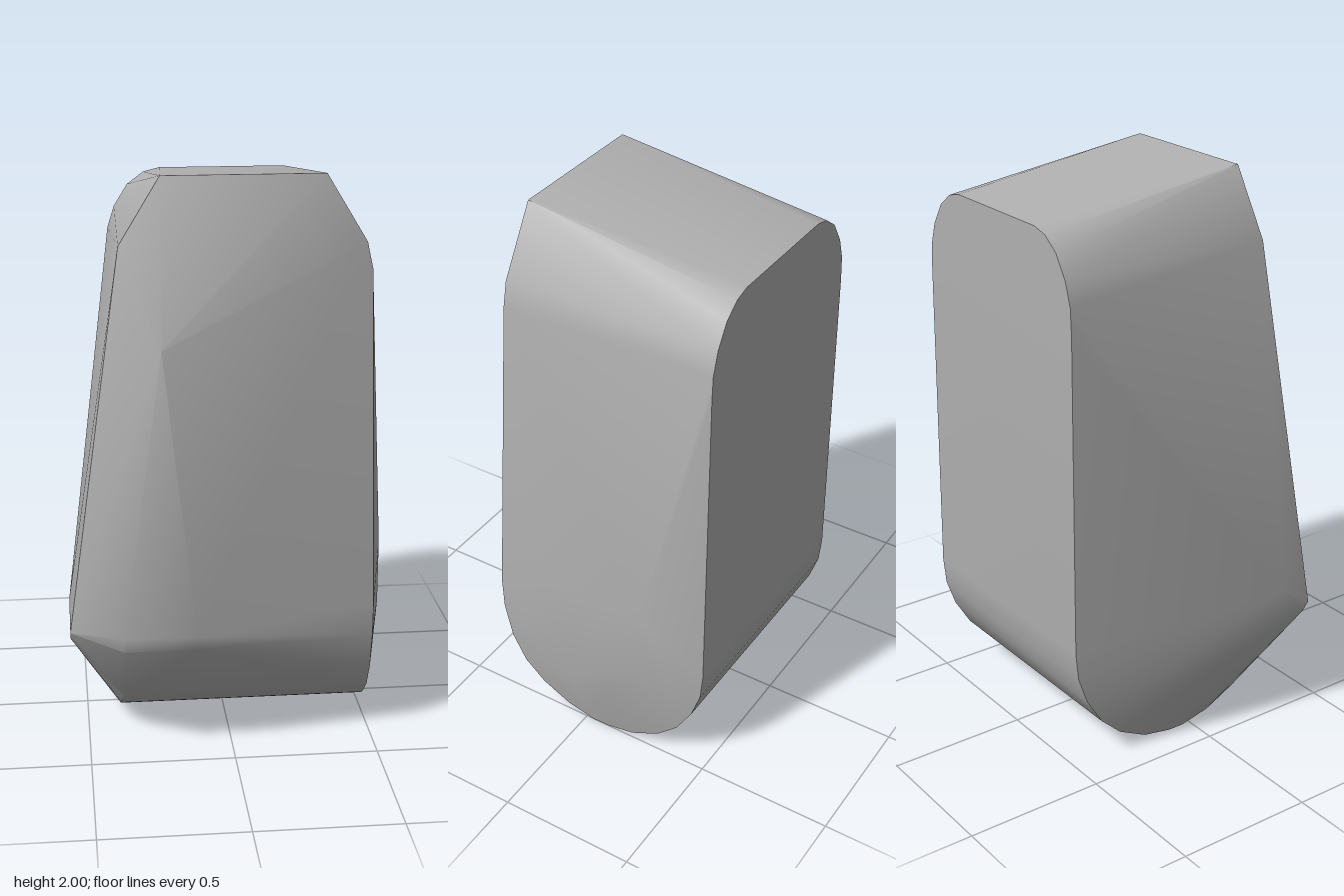
import * as THREE from 'three';
import { ConvexGeometry } from 'three/addons/geometries/ConvexGeometry.js';
import { toCreasedNormals } from 'three/addons/utils/BufferGeometryUtils.js';

export function createModel() {
  const grey = new THREE.MeshStandardMaterial({ color: 0xb0b0b0 });
  grey.name = 'stone grey';
  const points = [];
  const add = (x, y, z) => points.push(new THREE.Vector3(x, y, z));

  // rounded base, one profile [z, y] swept across x
  const base = [[0.36, 0.5], [0.355, 0.38], [0.325, 0.25], [0.27, 0.15], [0.19, 0.08], [0.08, 0.025],
    [-0.03, 0], [-0.09, 0], [-0.2, 0.02], [-0.31, 0.075], [-0.39, 0.15], [-0.45, 0.25], [-0.485, 0.35], [-0.495, 0.45]];
  for (const [z, y] of base) {
    add(0.5, y, z);
    add(-0.38, y, z);
  }

  // rounded shoulders [x, y] on the flat back
  const shoulders = [[0.48, 1.6], [0.475, 1.69], [0.45, 1.77], [0.4, 1.85], [0.34, 1.895], [0.28, 1.91],
    [-0.18, 1.91], [-0.24, 1.895], [-0.3, 1.85], [-0.35, 1.77], [-0.375, 1.69], [-0.38, 1.6]];
  for (const [x, y] of shoulders) add(x, y, -0.495);

  // chamfered top of the front face
  const brow = [[0.48, 1.68], [0.46, 1.77], [0.32, 2], [-0.23, 2], [-0.37, 1.77], [-0.38, 1.7]];
  for (const [x, y] of brow) add(x, y, 0.29);

  // swelling of the front face
  add(-0.24, 1.45, 0.44);
  for (const x of [-0.38, -0.13]) {
    add(x, 0.46, 0.495);
    add(x, 0.41, 0.485);
  }

  // protruding lower corner
  add(-0.56, 0.53, 0.28);
  add(-0.56, 0.45, 0.395);
  add(-0.56, 0.42, 0.37);

  // shallow dome on the other side
  for (const [y, z] of [[0.65, -0.27], [0.65, 0.14], [0.42, -0.27], [0.42, 0.14], [0.24, -0.12], [0.24, 0.02]]) {
    add(0.556, y, z);
  }

  const boulder = new THREE.Mesh(toCreasedNormals(new ConvexGeometry(points), 0.62), grey);
  boulder.name = 'boulder';
  const model = new THREE.Group();
  model.name = 'standingStone';
  model.add(boulder);
  return model;
}
